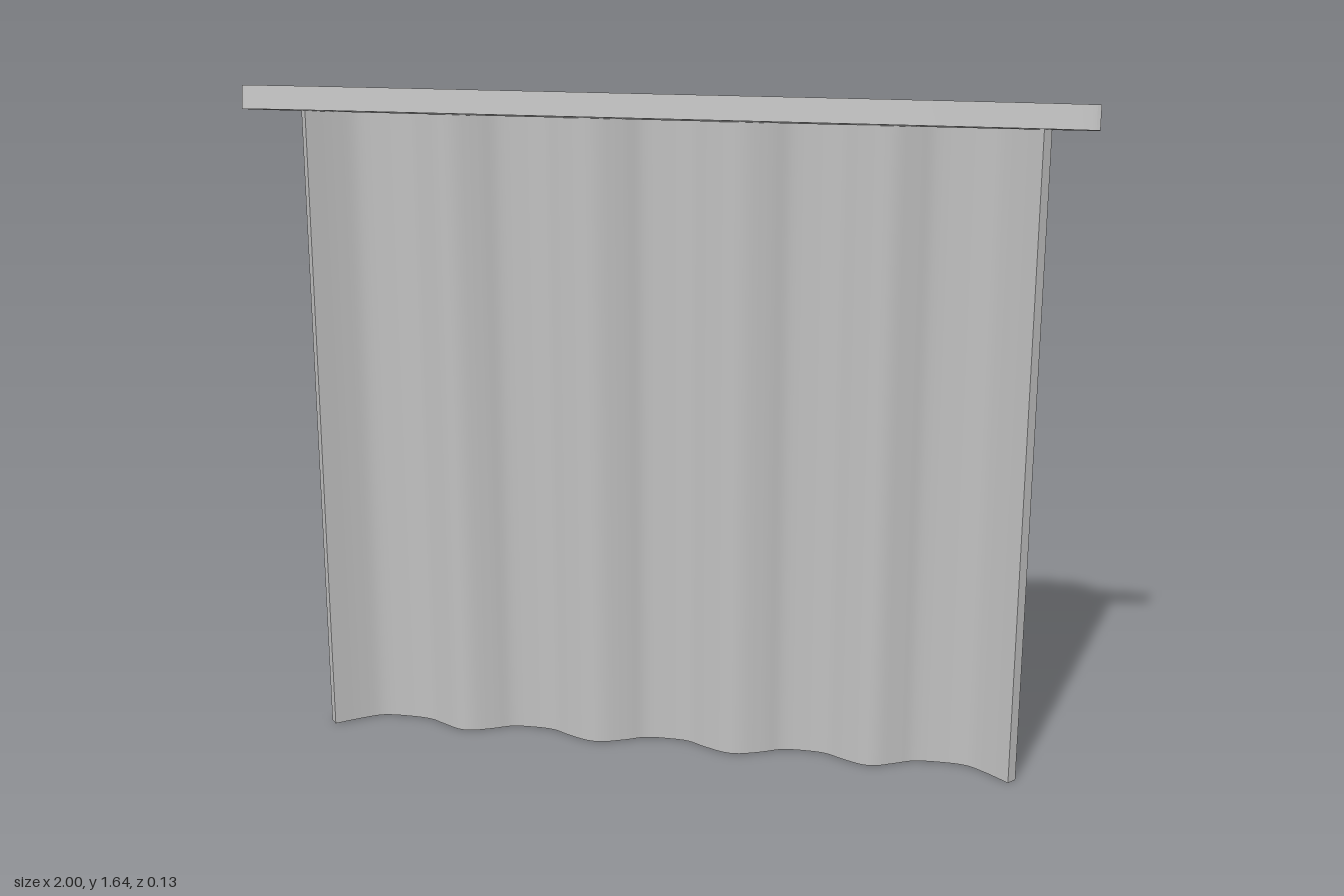
import * as THREE from 'three';
import { toCreasedNormals } from 'three/addons/utils/BufferGeometryUtils.js';

const grey = new THREE.MeshStandardMaterial({ color: 0xc0c0c0 });
grey.name = 'grey';

// Extrude an outline of [x, z] points upwards, keeping sharp edges
function extrudeUp(outline, height, crease) {
  const shape = new THREE.Shape(outline.map(([x, z]) => new THREE.Vector2(x, -z)));
  const geo = new THREE.ExtrudeGeometry(shape, { depth: height, bevelEnabled: false });
  geo.rotateX(-Math.PI / 2);
  return toCreasedNormals(geo, crease);
}

// Hanging sheet with five folds
function makeCurtain() {
  const centre = 0.02, half = 0.0135;
  // Middle line of the right side, from the central fold outwards
  const side = [
    [0.06, -0.047], [0.11, -0.021], [0.175, 0.002], [0.24, -0.019], [0.29, -0.045],
    [0.35, -0.051], [0.41, -0.045], [0.46, -0.019], [0.52, 0.002], [0.575, -0.022],
    [0.62, -0.045], [0.69, -0.052], [0.76, -0.045], [0.81, -0.014], [0.868, 0.033],
  ];
  const line = [
    ...side.map(([x, z]) => [-x, z]).reverse(), [0, -0.052], ...side,
  ].map(([x, z]) => new THREE.Vector3(x + centre, 0, z));
  const curve = new THREE.CatmullRomCurve3(line);
  const front = [], back = [];
  const steps = 120;
  for (let i = 0; i <= steps; i++) {
    const p = curve.getPoint(i / steps), t = curve.getTangent(i / steps);
    front.push([p.x - t.z * half, p.z + t.x * half]);
    back.push([p.x + t.z * half, p.z - t.x * half]);
  }
  const mesh = new THREE.Mesh(extrudeUp([...front, ...back.reverse()], 1.61, 0.6), grey);
  mesh.name = 'curtain';
  return mesh;
}

// Slightly tilted rail, bowed in plan and narrow at both ends
function makeRail() {
  const height = 0.056, front = [], back = [];
  const steps = 48;
  for (let i = 0; i <= steps; i++) {
    const x = -Math.cos((i / steps) * Math.PI);
    const w = 0.004 + 0.0245 * Math.sqrt(Math.max(0, 1 - x ** 4));
    front.push([x, w]);
    back.push([x, -w]);
  }
  const geo = extrudeUp([...front, ...back.reverse()], height, 0.6);
  geo.translate(0, -height / 2, 0);
  const mesh = new THREE.Mesh(geo, grey);
  mesh.name = 'rail';
  mesh.position.set(0, 1.607, 0.03);
  mesh.rotation.x = -0.18;
  return mesh;
}

export function createModel() {
  const group = new THREE.Group();
  group.name = 'curtainOnRail';
  group.add(makeCurtain(), makeRail());
  return group;
}
